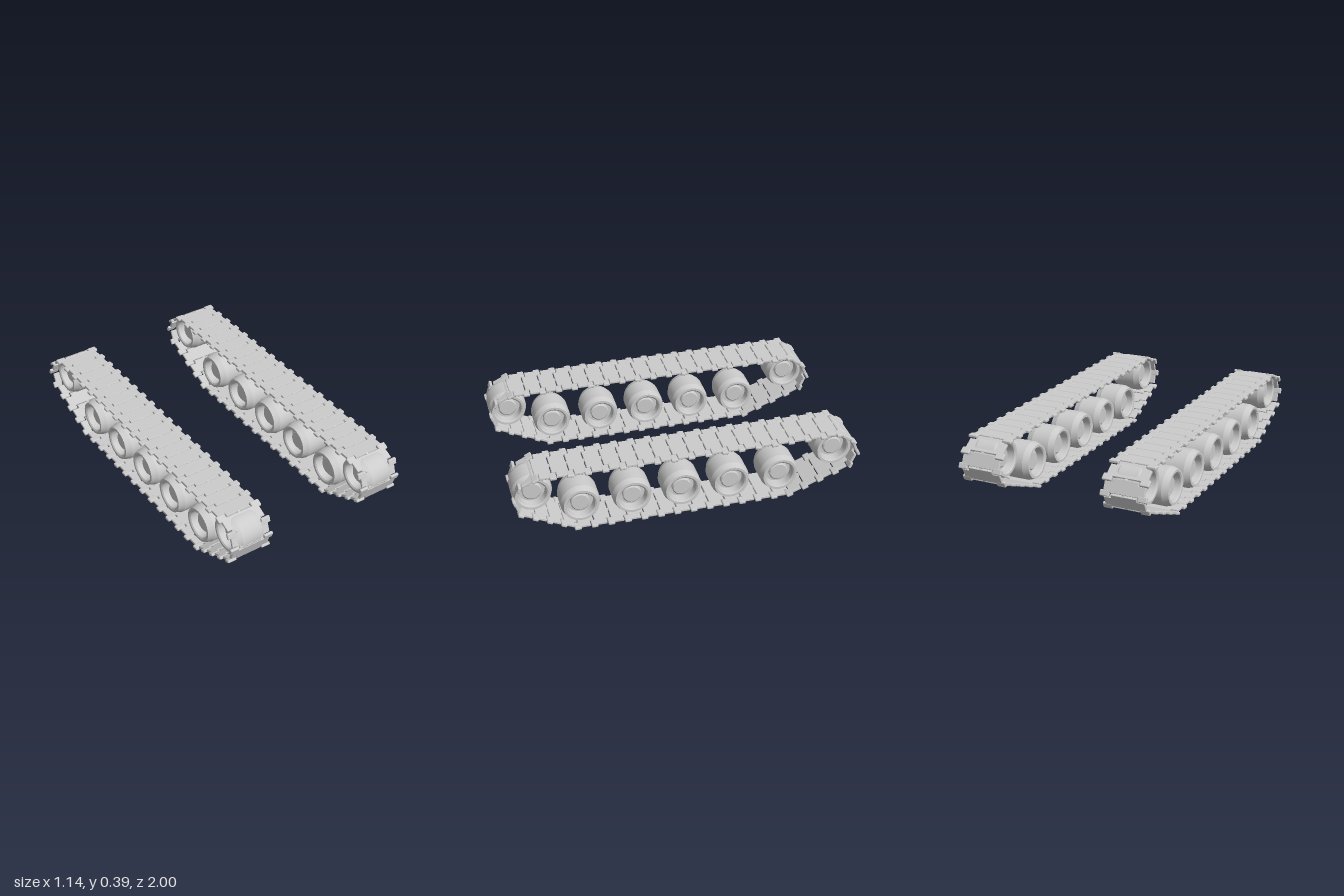
import * as THREE from 'three';
import { toCreasedNormals } from 'three/addons/utils/BufferGeometryUtils.js';
import { RoundedBoxGeometry } from 'three/addons/geometries/RoundedBoxGeometry.js';

const material = new THREE.MeshStandardMaterial({ color: 0xcccccc });
const TRACK_X = 0.433;
const THICK = 0.016;

// Belt joints as [z, y, number of links leading to the next joint]
const PATH = [
  [-0.87, 0.372, 18], [0.87, 0.372, 1], [0.962, 0.328, 1], [0.99, 0.24, 1],
  [0.96, 0.153, 4], [0.65, 0.009, 13], [-0.59, 0.009, 4], [-0.95, 0.153, 1],
  [-0.988, 0.235, 1], [-0.955, 0.312, 1],
];

// Wheel centres as [z, y]
const WHEELS = [
  [0.885, 0.26], [-0.853, 0.262],
  ...[0.62, 0.325, 0.037, -0.247, -0.537].map((z) => [z, 0.135]),
];

function mesh(name, geometry) {
  const m = new THREE.Mesh(geometry, material);
  m.name = name;
  return m;
}

// Link plate: wide body with a narrower tab at its leading end
function plateGeometry(pitch) {
  const half = [[0.075, 0.5], [0.075, 0.27], [0.118, 0.27], [0.118, -0.45]];
  const outline = [...half, ...half.map(([x, t]) => [-x, t]).reverse()];
  const shape = new THREE.Shape(outline.map(([x, t]) => new THREE.Vector2(x, -t * pitch)));
  const geo = new THREE.ExtrudeGeometry(shape, {
    depth: THICK - 0.006, bevelEnabled: true, bevelSegments: 1,
    bevelSize: 0.002, bevelThickness: 0.003, bevelOffset: -0.002,
  });
  geo.translate(0, 0, -(THICK - 0.006) / 2);
  geo.rotateX(-Math.PI / 2);
  return geo;
}

function createLink(pitch) {
  const link = new THREE.Group();
  link.name = 'trackLink';
  link.add(mesh('linkPlate', plateGeometry(pitch)));
  // Side lugs overlap the tab of the link ahead
  const lug = new RoundedBoxGeometry(0.055, THICK + 0.002, 0.4 * pitch, 2, 0.006);
  for (const side of [-1, 1]) {
    const m = mesh('linkLug', lug);
    m.position.set(side * 0.108, 0, -0.5 * pitch);
    link.add(m);
  }
  // Small hinge knuckle in the joint gap
  const knuckle = mesh('linkKnuckle', new THREE.BoxGeometry(0.016, THICK * 0.7, 0.12 * pitch));
  knuckle.position.z = -0.48 * pitch;
  link.add(knuckle);
  return link;
}

function createBelt() {
  const belt = new THREE.Group();
  belt.name = 'trackBelt';
  PATH.forEach(([z0, y0, count], i) => {
    const [z1, y1] = PATH[(i + 1) % PATH.length];
    const dz = z1 - z0, dy = y1 - y0;
    const prototype = createLink(Math.hypot(dz, dy) / count);
    for (let k = 0; k < count; k++) {
      const f = (k + 0.5) / count;
      const link = prototype.clone();
      link.position.set(0, y0 + dy * f, z0 + dz * f);
      link.rotation.x = Math.atan2(-dy, dz);
      belt.add(link);
    }
  });
  return belt;
}

// Wheel: broad tread, tapered shoulders, recessed disc and stepped hub
function wheelGeometry() {
  const side = [
    [0, 0.062], [0.048, 0.062], [0.055, 0.056], [0.055, 0.04], [0.075, 0.04],
    [0.078, 0.086], [0.086, 0.092], [0.1, 0.092], [0.112, 0.055],
  ];
  const profile = [
    ...side.map(([r, h]) => new THREE.Vector2(r, -h)),
    ...side.map(([r, h]) => new THREE.Vector2(r, h)).reverse(),
  ];
  const geo = new THREE.LatheGeometry(profile, 36);
  geo.rotateZ(Math.PI / 2);
  return toCreasedNormals(geo, 0.25);
}

export function createModel() {
  const model = new THREE.Group();
  model.name = 'trackPair';
  const wheel = wheelGeometry();
  for (const side of [-1, 1]) {
    const track = new THREE.Group();
    track.name = side > 0 ? 'leftTrack' : 'rightTrack';
    track.position.x = side * TRACK_X;
    track.add(createBelt());
    WHEELS.forEach(([z, y], i) => {
      const m = mesh(i < 2 ? 'endWheel' : 'roadWheel', wheel);
      m.position.set(0, y, z);
      track.add(m);
    });
    model.add(track);
  }
  return model;
}
